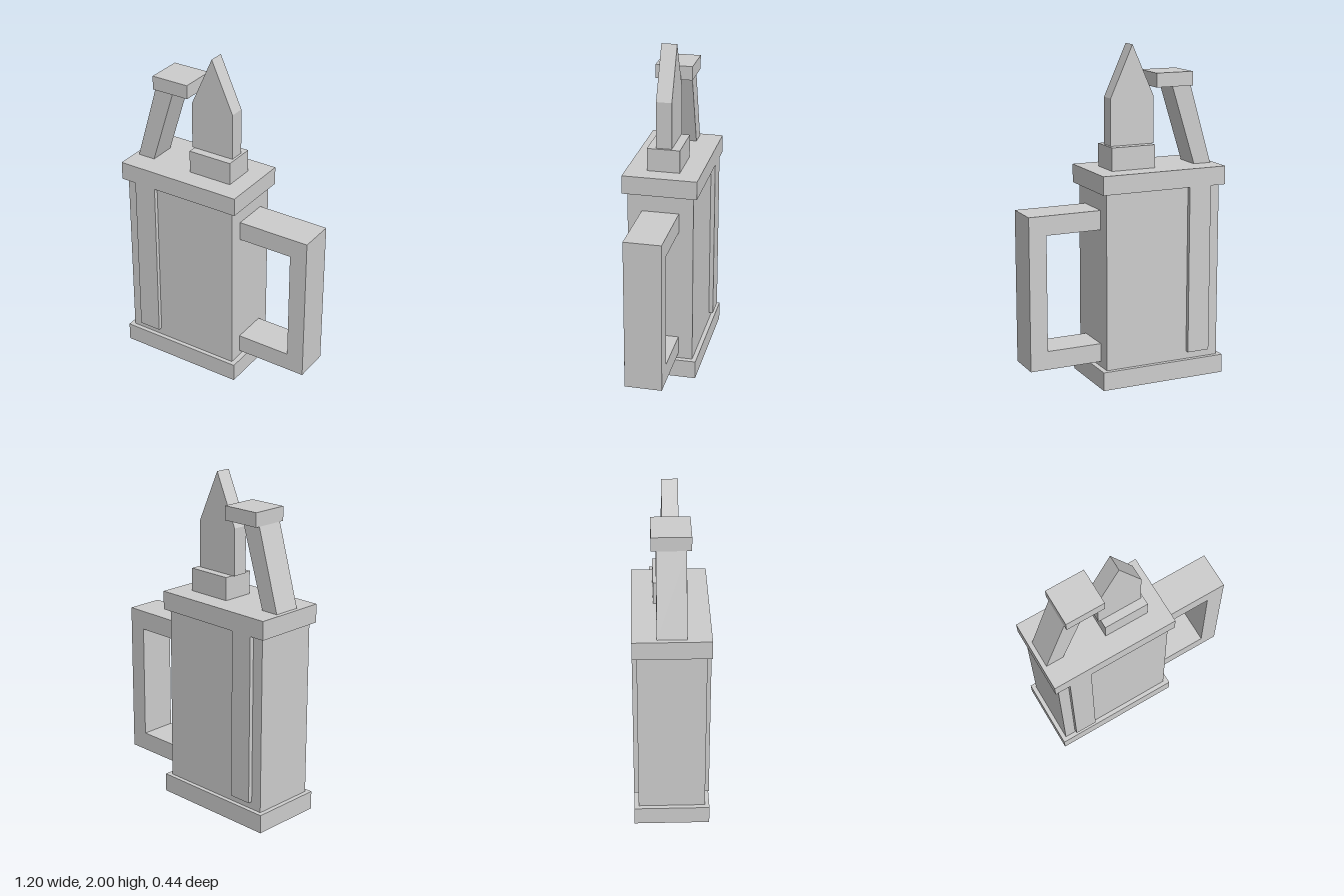
import * as THREE from 'three';

export function createModel() {
  const group = new THREE.Group();
  const grey = new THREE.MeshStandardMaterial({ color: 0xcccccc });
  grey.name = 'light grey';

  const add = (name, geometry) => {
    const mesh = new THREE.Mesh(geometry, grey);
    mesh.name = name;
    group.add(mesh);
  };

  // Box from its x and y limits, centred on z = 0
  const block = (name, x0, x1, y0, y1, halfDepth) => {
    const g = new THREE.BoxGeometry(x1 - x0, y1 - y0, halfDepth * 2);
    g.translate((x0 + x1) / 2, (y0 + y1) / 2, 0);
    add(name, g);
  };

  // Outline in x and y, extruded symmetrically along z
  const toPoints = (list) => list.map(([x, y]) => new THREE.Vector2(x, y));
  const slab = (name, outline, halfDepth) => {
    const g = new THREE.ExtrudeGeometry(new THREE.Shape(toPoints(outline)), {
      depth: halfDepth * 2, bevelEnabled: false,
    });
    g.translate(0, 0, -halfDepth);
    add(name, g);
  };

  // Case with its rims
  block('base', -0.602, 0.187, 0, 0.112, 0.221);
  block('body', -0.575, 0.156, 0.112, 1.17, 0.195);
  block('topRim', -0.602, 0.187, 1.17, 1.28, 0.221);

  // Raised strip on the front and the back
  for (const side of [1, -1]) {
    const g = new THREE.BoxGeometry(0.139, 1.012, 0.026);
    g.translate(-0.438, 0.664, side * 0.208);
    add(side > 0 ? 'frontStrip' : 'backStrip', g);
  }

  // Square C-shaped handle
  slab('handle', [
    [0.156, 0.143], [0.6, 0.143], [0.6, 1.06], [0.156, 1.06],
    [0.156, 0.945], [0.493, 0.945], [0.493, 0.254], [0.156, 0.254],
  ], 0.11);

  // Collar and pointed flame
  block('collar', -0.2, 0.076, 1.28, 1.417, 0.097);
  slab('flame', [
    [-0.215, 1.417], [0.061, 1.417], [0.061, 1.695], [-0.077, 2], [-0.215, 1.695],
  ], 0.046);

  // Leaning lever with its thumb pad
  slab('lever', [[-0.576, 1.28], [-0.467, 1.28], [-0.318, 1.752], [-0.438, 1.752]], 0.083);
  block('thumbPad', -0.438, -0.202, 1.752, 1.835, 0.11);

  return group;
}
